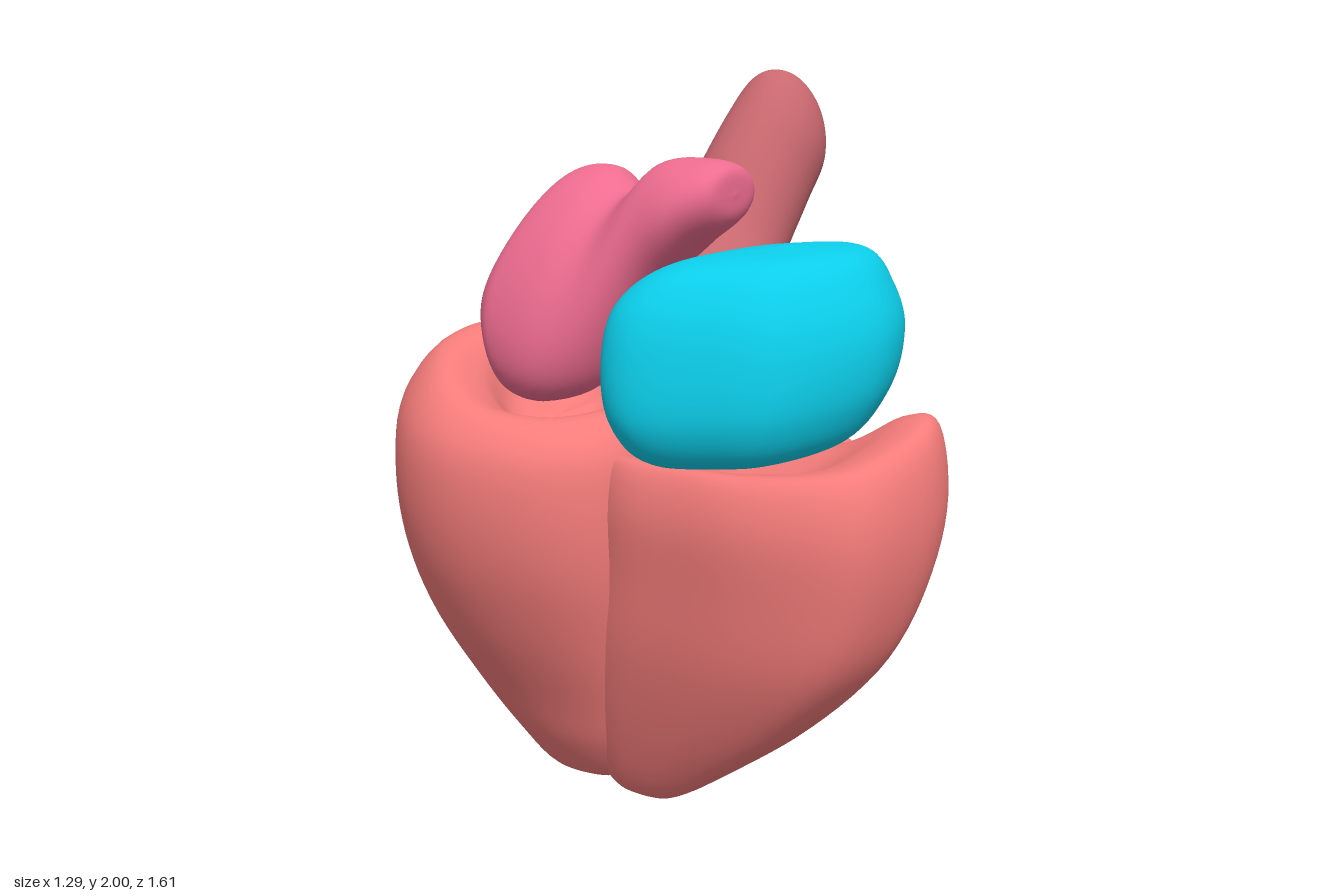
import * as THREE from 'three';

const V = (x, y, z) => new THREE.Vector3(x, y, z);

// Outline points [x, z, lift] rescaled to a unit box
function unit(points) {
  const xs = points.map(p => p[0]), zs = points.map(p => p[1]);
  const x0 = Math.min(...xs), z0 = Math.min(...zs);
  const w = Math.max(...xs) - x0, d = Math.max(...zs) - z0;
  return points.map(([x, z, lift = 0]) => [(x - x0) / w, (z - z0) / d, lift]);
}

// Horizontal rings from rows [y, xMin, xMax, zMin, zMax, liftAmount]
const levels = (outline, rows) => rows.map(([y, x0, x1, z0, z1, k = 0]) =>
  outline.map(([a, b, lift]) => V(x0 + a * (x1 - x0), y + k * lift, z0 + b * (z1 - z0))));

// Smooth closed skin through rings of points
function loft(rings, around = 64, along = 56) {
  const smooth = rings.map(r => {
    const c = new THREE.CatmullRomCurve3(r, true, 'catmullrom', 0.5);
    return Array.from({ length: around }, (_, i) => c.getPoint(i / around));
  });
  const pos = [], idx = [];
  for (let i = 0; i < around; i++) {
    const c = new THREE.CatmullRomCurve3(smooth.map(r => r[i]), false, 'catmullrom', 0.5);
    for (let j = 0; j <= along; j++) pos.push(...c.getPoint(j / along).toArray());
  }
  const at = (i, j) => (i % around) * (along + 1) + j;
  for (let i = 0; i < around; i++) {
    for (let j = 0; j < along; j++) {
      const a = at(i, j), b = at(i + 1, j), c = at(i + 1, j + 1), d = at(i, j + 1);
      idx.push(a, b, c, a, c, d);
    }
  }
  // Turn the faces outward if the enclosed volume is negative
  const p = i => V(pos[3 * i], pos[3 * i + 1], pos[3 * i + 2]);
  let volume = 0;
  for (let i = 0; i < idx.length; i += 3) volume += p(idx[i]).dot(p(idx[i + 1]).cross(p(idx[i + 2])));
  if (volume < 0) idx.reverse();
  const g = new THREE.BufferGeometry();
  g.setAttribute('position', new THREE.Float32BufferAttribute(pos, 3));
  g.setIndex(idx);
  g.computeVertexNormals();
  return g;
}

export function createModel() {
  const group = new THREE.Group();
  const add = (name, geometry, color) => {
    const mesh = new THREE.Mesh(geometry, new THREE.MeshStandardMaterial({ color }));
    mesh.name = name;
    group.add(mesh);
    return mesh;
  };
  const muscle = 0xf47c7a;
  const circle = Array.from({ length: 16 }, (_, i) => (i / 16) * Math.PI * 2);

  // Rear ventricle: tapering cup, flatter on one side, with a tilted rounded rim and a sunken valve
  const cup = unit([
    [-0.65, -0.3, -0.08], [-0.6, -0.53, -0.02], [-0.42, -0.74, 0.04], [-0.2, -0.81, 0.07],
    [0, -0.76, 0.07], [0.15, -0.63, 0.08], [0.23, -0.47, 0.06], [0.255, -0.28, 0.05],
    [0.22, -0.1, 0.04], [0.08, 0.04, -0.02], [-0.2, 0.1, -0.07], [-0.43, 0.08, -0.09], [-0.58, -0.06, -0.1],
  ]);
  add('rearVentricle', loft(levels(cup, [
    [0.03, -0.19, -0.19, -0.25, -0.25],
    [0.035, -0.26, -0.1, -0.38, -0.1],
    [0.15, -0.35, 0.04, -0.51, 0],
    [0.3, -0.43, 0.13, -0.65, 0.05],
    [0.5, -0.54, 0.21, -0.755, 0.08],
    [0.7, -0.62, 0.245, -0.795, 0.1],
    [0.9, -0.65, 0.255, -0.805, 0.1, 0.2],
    [1.08, -0.63, 0.25, -0.78, 0.08, 0.6],
    [1.2, -0.54, 0.2, -0.67, 0, 1],
    [1.17, -0.42, 0.06, -0.54, -0.12, 1],
    [1.06, -0.32, -0.04, -0.45, -0.24, 0.5],
    [1.04, -0.18, -0.18, -0.34, -0.34],
  ])), muscle);

  // Front ventricle: wedge-shaped body with an uneven rim and a shallow hollow
  const wedge = unit([
    [-0.44, 0.3, 0], [-0.41, 0.53, 0], [-0.3, 0.74, 0.02], [-0.1, 0.8, 0.07],
    [0.06, 0.78, 0.11], [0.18, 0.69, 0.06], [0.26, 0.54, -0.04], [0.33, 0.35, -0.04], [0.38, 0.18, 0.04],
    [0.43, 0.02, 0.1], [0.41, -0.14, 0.1], [0.27, -0.28, 0.05], [-0.2, -0.2, 0], [-0.42, 0.05, 0],
  ]);
  add('frontVentricle', loft(levels(wedge, [
    [0, -0.2, -0.2, 0, 0],
    [0.025, -0.25, -0.12, -0.13, 0.11],
    [0.12, -0.3, -0.02, -0.2, 0.26],
    [0.3, -0.36, 0.1, -0.27, 0.5],
    [0.5, -0.41, 0.22, -0.3, 0.69],
    [0.7, -0.435, 0.33, -0.29, 0.775],
    [0.88, -0.45, 0.42, -0.28, 0.8, 0.3],
    [1.0, -0.42, 0.42, -0.27, 0.76, 1],
    [1.01, -0.36, 0.36, -0.2, 0.66, 1],
    [0.97, -0.25, 0.22, 0.02, 0.5, 0.6],
    [0.98, -0.05, -0.05, 0.25, 0.25],
  ])), muscle);

  // Outflow horn: wide foot sweeping up from the front ventricle to a narrow tip
  const oval = unit(circle.map(t => [Math.cos(t), Math.sin(t)]));
  add('outflowHorn', loft(levels(oval, [
    [0.6, 0.12, 0.12, -0.06, -0.06],
    [0.75, 0.02, 0.335, -0.27, 0.16],
    [0.95, 0.06, 0.445, -0.28, 0.18],
    [1.1, 0.14, 0.505, -0.27, 0.155],
    [1.25, 0.26, 0.54, -0.25, 0.13],
    [1.38, 0.37, 0.54, -0.17, 0.07],
    [1.46, 0.43, 0.525, -0.1, 0.015],
    [1.48, 0.48, 0.48, -0.04, -0.04],
  ])), muscle);

  // Front atrium: faceted pillow whose underside rises to one side
  const pillow = unit([
    [-0.53, 0.2], [-0.45, 0.09], [-0.2, 0.1], [-0.02, 0.16], [0.11, 0.28],
    [0.22, 0.45], [0.14, 0.59], [-0.08, 0.66], [-0.35, 0.56], [-0.47, 0.38],
  ]).map(([a, b]) => [a, b, a]);
  add('frontAtrium', loft(levels(pillow, [
    [1.03, -0.25, -0.25, 0.34, 0.34],
    [1.02, -0.44, 0.05, 0.18, 0.55, 0.06],
    [1.12, -0.53, 0.17, 0.11, 0.64, 0.08],
    [1.28, -0.53, 0.22, 0.08, 0.66, 0.06],
    [1.42, -0.48, 0.21, 0.1, 0.62, 0.03],
    [1.51, -0.36, 0.14, 0.2, 0.54, 0.03],
    [1.55, -0.1, -0.1, 0.38, 0.38],
  ])), 0x0cceea);

  // Rear atrium: lobed sac running front to back, rows [z, x, y, rx, ry, sideways lean of the top]
  add('rearAtrium', loft([
    [0.23, -0.11, 1.67, 0, 0, 0],
    [0.215, -0.11, 1.67, 0.1, 0.07, 0.01],
    [0.12, -0.12, 1.64, 0.145, 0.12, 0.03],
    [0, -0.14, 1.57, 0.145, 0.18, 0.04],
    [-0.12, -0.16, 1.42, 0.18, 0.25, 0.08],
    [-0.24, -0.17, 1.42, 0.2, 0.31, 0.13],
    [-0.36, -0.17, 1.42, 0.2, 0.3, 0.13],
    [-0.43, -0.17, 1.4, 0.19, 0.22, 0.09],
    [-0.5, -0.17, 1.36, 0.13, 0.1, 0.02],
    [-0.52, -0.17, 1.36, 0, 0, 0],
  ].map(([z, x, y, rx, ry, lean]) => circle.map(t =>
    V(x + rx * Math.cos(t) + lean * Math.sin(t), y + ry * Math.sin(t), z)))), 0xee6c90);

  // Great artery: leaning vessel, rows [x, y, z, radius in the lean, radius in z]
  add('greatArtery', loft([
    [0.08, 1.12, -0.09, 0, 0],
    [0.1, 1.18, -0.09, 0.14, 0.16],
    [0.16, 1.34, -0.1, 0.19, 0.215],
    [0.29, 1.51, -0.1, 0.165, 0.175],
    [0.41, 1.68, -0.09, 0.17, 0.16],
    [0.495, 1.8, -0.08, 0.165, 0.15],
    [0.535, 1.9, -0.08, 0.125, 0.115],
    [0.53, 1.965, -0.08, 0.05, 0.06],
    [0.52, 1.97, -0.08, 0, 0],
  ].map(([x, y, z, r, rz]) => circle.map(t =>
    V(x + 0.8 * r * Math.cos(t), y - 0.6 * r * Math.cos(t), z + rz * Math.sin(t))))), 0xc9686f);

  // Small side appendage behind the horn
  const lobe = add('sideAppendage', new THREE.SphereGeometry(1, 32, 20), 0x2088c4);
  lobe.scale.set(0.08, 0.085, 0.125);
  lobe.position.set(0.42, 1.41, -0.26);
  lobe.rotation.set(-0.5, 0.5, 0);

  return group;
}
